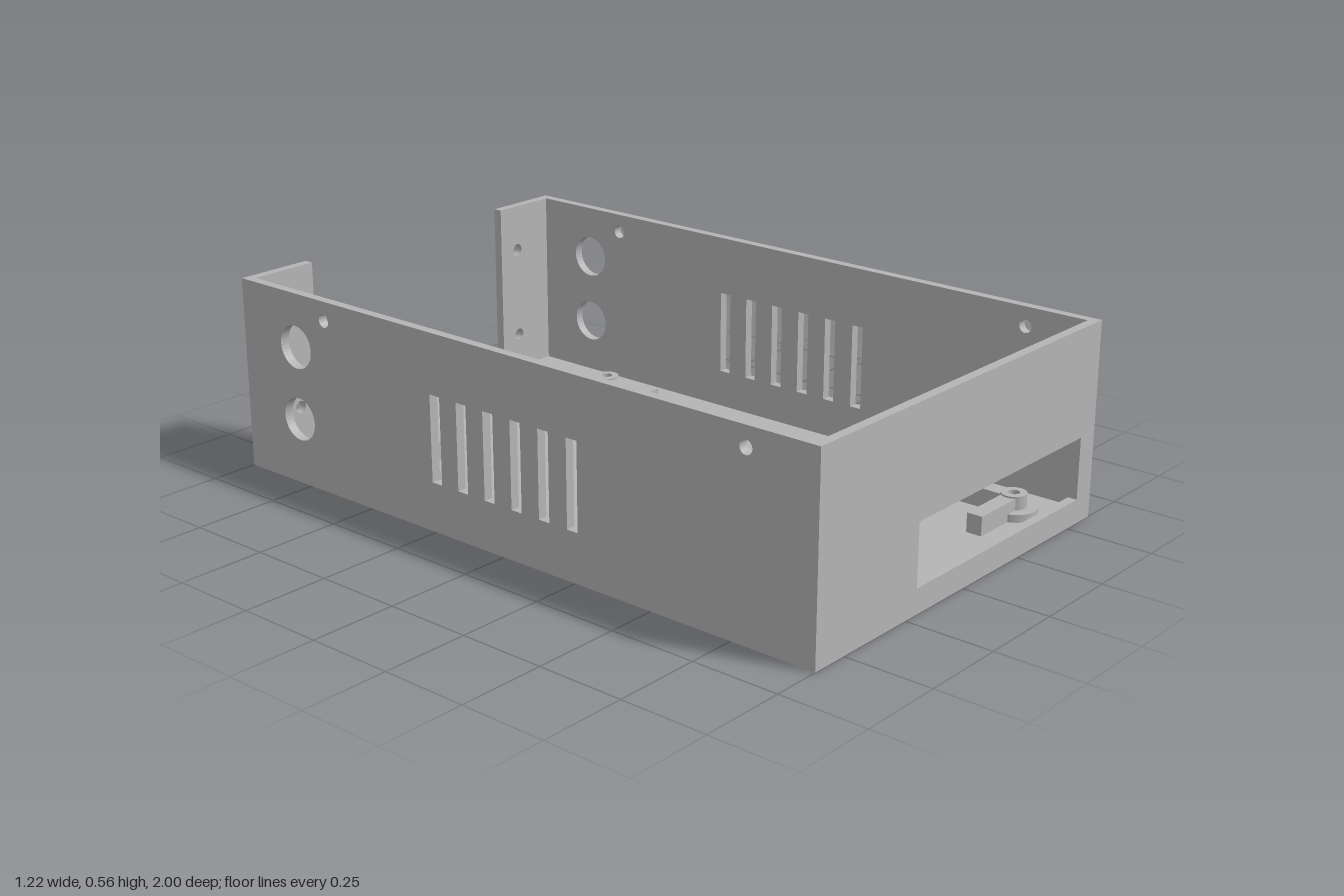
import * as THREE from 'three';

const W = 0.61, L = 1, H = 0.555, T = 0.027, FLOOR = 0.03;

function polygon(points, Type = THREE.Shape) {
  return new Type(points.map(([x, y]) => new THREE.Vector2(x, y)));
}

function rect(x0, y0, x1, y1, Type = THREE.Shape) {
  return polygon([[x0, y0], [x1, y0], [x1, y1], [x0, y1]], Type);
}

function disc(x, y, r, Type = THREE.Path) {
  const path = new Type();
  path.absarc(x, y, r, 0, Math.PI * 2, false);
  return path;
}

function extrude(shape, depth) {
  return new THREE.ExtrudeGeometry(shape, { depth, bevelEnabled: false, curveSegments: 20 });
}

export function createModel() {
  const group = new THREE.Group();
  const grey = new THREE.MeshStandardMaterial({ color: 0xb4b4b4 });
  grey.name = 'casing grey';

  function add(name, geometry, parent = group) {
    const mesh = new THREE.Mesh(geometry, grey);
    mesh.name = name;
    parent.add(mesh);
    return mesh;
  }

  function block(name, x0, x1, y0, y1, z0, z1, parent = group) {
    const g = new THREE.BoxGeometry(x1 - x0, y1 - y0, z1 - z0);
    g.translate((x0 + x1) / 2, (y0 + y1) / 2, (z0 + z1) / 2);
    return add(name, g, parent);
  }

  // Floor plate
  block('floor', -W + T, W - T, 0, FLOOR, -L + T, L - T);

  // Side walls: vent slots, two large ports and two screw holes, drawn in (z, y)
  const side = rect(-L, 0, L, H);
  for (let i = 0; i < 6; i++) {
    const z = -0.24 + i * 0.0965;
    side.holes.push(rect(z - 0.018, 0.14, z + 0.018, 0.385, THREE.Path));
  }
  for (const y of [0.19, 0.4]) side.holes.push(disc(-0.785, y, 0.062));
  for (const z of [0.788, -0.663]) side.holes.push(disc(z, 0.5, 0.019));
  const sideGeometry = extrude(side, T).rotateY(-Math.PI / 2);
  add('leftWall', sideGeometry).position.x = W;
  add('rightWall', sideGeometry).position.x = -W + T;

  // Front wall with display opening
  const front = rect(-W + T, 0, W - T, H);
  front.holes.push(rect(-0.205, 0.07, 0.542, 0.246, THREE.Path));
  add('frontWall', extrude(front, T)).position.z = L - T;

  // Back wall: low sill between two drilled posts
  const X = W - T;
  const back = polygon([
    [-X, 0], [X, 0], [X, H], [0.38, H], [0.38, 0.1], [-0.38, 0.1], [-0.38, H], [-X, H],
  ]);
  for (const x of [-0.45, 0.45]) {
    for (const y of [0.138, 0.415]) back.holes.push(disc(x, y, 0.018));
  }
  add('backWall', extrude(back, T)).position.z = -L;

  // Raised cross on the floor
  const cross = polygon([
    [-0.215, -0.022], [-0.022, -0.022], [-0.022, -0.29], [0.022, -0.29],
    [0.022, -0.022], [0.215, -0.022], [0.215, 0.022], [0.022, 0.022],
    [0.022, 0.29], [-0.022, 0.29], [-0.022, 0.022], [-0.215, 0.022],
  ]);
  add('floorCross', extrude(cross, 0.085 - FLOOR).rotateX(-Math.PI / 2))
    .position.set(0, FLOOR, 0.142);

  // Corner standoffs: washer base, hollow boss and two arms pointing inward
  function ring(radius, height) {
    const shape = disc(0, 0, radius, THREE.Shape);
    shape.holes.push(disc(0, 0, 0.016));
    return extrude(shape, height).rotateX(-Math.PI / 2);
  }
  const baseGeometry = ring(0.068, 0.022);
  const bossGeometry = ring(0.036, 0.09 - FLOOR);
  for (const sx of [-1, 1]) {
    for (const [z, sz] of [[-0.587, 1], [0.87, -1]]) {
      const standoff = new THREE.Group();
      standoff.name = 'standoff';
      standoff.position.set(sx * 0.437, FLOOR, z);
      add('standoffBase', baseGeometry, standoff);
      add('standoffBoss', bossGeometry, standoff);
      const ends = (s) => [s * 0.026, s * 0.19].sort((a, b) => a - b);
      const [x0, x1] = ends(-sx), [z0, z1] = ends(sz);
      block('standoffArmAcross', x0, x1, 0, 0.055, -0.023, 0.023, standoff);
      block('standoffArmAlong', -0.023, 0.023, 0, 0.055, z0, z1, standoff);
      group.add(standoff);
    }
  }
  return group;
}
